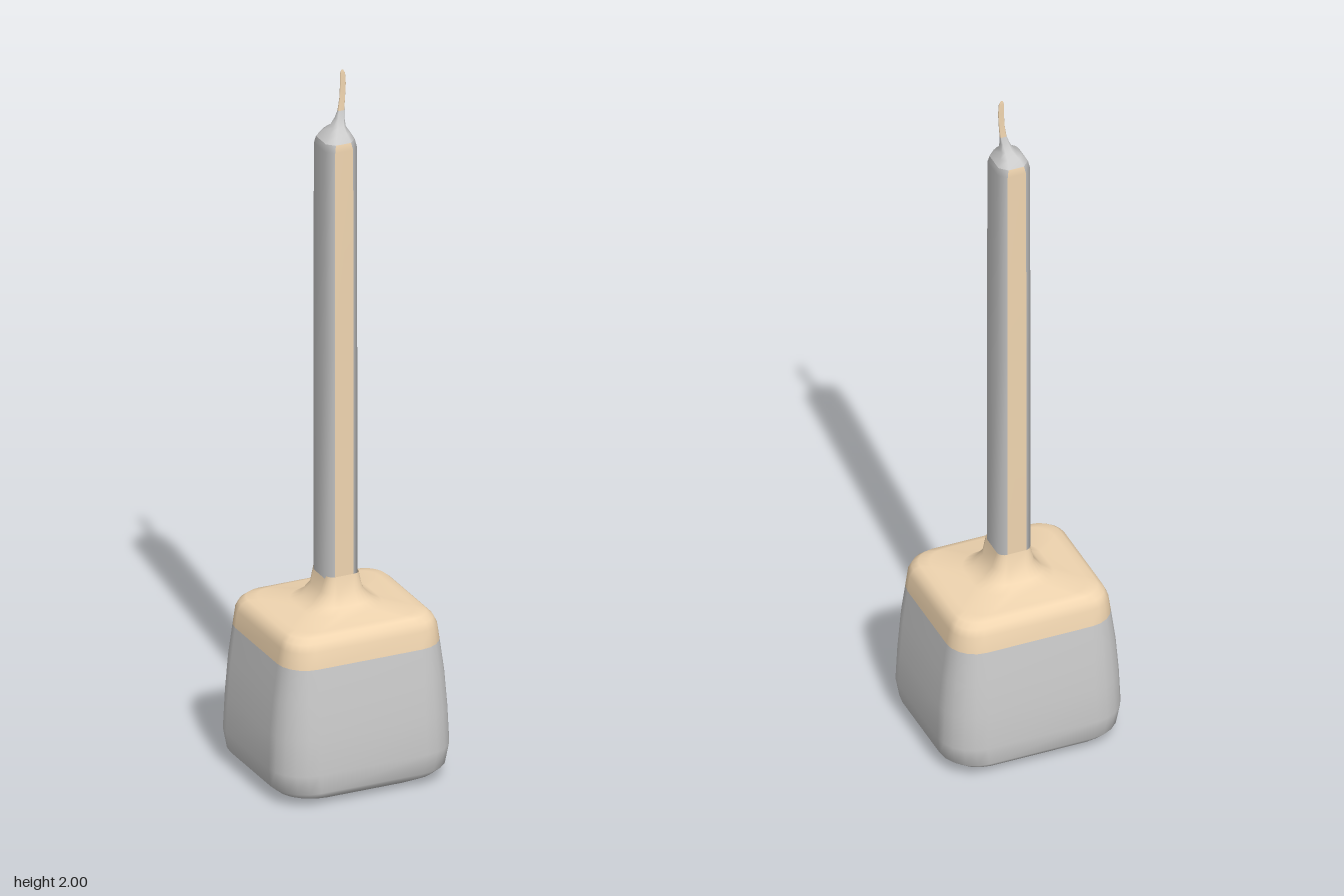
import * as THREE from 'three';

const grey = new THREE.MeshStandardMaterial({ color: 0xcccccc, side: THREE.DoubleSide });
const tan = new THREE.MeshStandardMaterial({ color: 0xf0d5b0, side: THREE.DoubleSide });

// Rounded rectangle ring with (seg + 1) points per corner, running +x to +z
function ring([y, hx, hz, r, cx = 0], seg) {
  const points = [];
  const signs = [[1, 1], [-1, 1], [-1, -1], [1, -1]];
  signs.forEach(([sx, sz], corner) => {
    for (let i = 0; i <= seg; i++) {
      const a = (corner + i / seg) * Math.PI / 2;
      points.push(cx + sx * (hx - r) + r * Math.cos(a), y, sz * (hz - r) + r * Math.sin(a));
    }
  });
  return points;
}

// Skin a stack of rings; keep(column) selects which strips belong to the mesh
function loft(name, rows, seg, material, keep = () => true) {
  const count = 4 * (seg + 1);
  const index = [];
  for (let j = 0; j < rows.length - 1; j++) {
    for (let i = 0; i < count; i++) {
      if (!keep(i)) continue;
      const a = j * count + i, b = j * count + (i + 1) % count;
      index.push(a, a + count, b, b, a + count, b + count);
    }
  }
  const geometry = new THREE.BufferGeometry();
  geometry.setAttribute('position', new THREE.Float32BufferAttribute(rows.flatMap(row => ring(row, seg)), 3));
  geometry.setIndex(index);
  geometry.computeVertexNormals();
  const mesh = new THREE.Mesh(geometry, material);
  mesh.name = name;
  return mesh;
}

export function createModel() {
  const model = new THREE.Group();
  model.name = 'stickWithBlock';

  // Rows are: height, half width, half depth, corner radius, x offset
  model.add(loft('block', [
    [0.005, 0.001, 0.001, 0.001],
    [0.005, 0.16, 0.15, 0.07],
    [0.008, 0.19, 0.175, 0.08],
    [0.025, 0.225, 0.205, 0.09],
    [0.045, 0.248, 0.223, 0.1],
    [0.1, 0.257, 0.229, 0.1],
    [0.2, 0.253, 0.226, 0.1],
    [0.3, 0.244, 0.218, 0.09],
    [0.395, 0.231, 0.208, 0.08],
  ], 5, grey));

  // Coloured top that sweeps up into the stick
  model.add(loft('blockTop', [
    [0.395, 0.231, 0.208, 0.08],
    [0.44, 0.224, 0.2, 0.07],
    [0.46, 0.215, 0.191, 0.065],
    [0.473, 0.2, 0.178, 0.06],
    [0.478, 0.175, 0.16, 0.06],
    [0.485, 0.11, 0.105, 0.07],
    [0.5, 0.082, 0.085, 0.055],
    [0.53, 0.058, 0.064, 0.035],
    [0.575, 0.047, 0.055, 0.02],
  ], 5, tan));

  // Chamfered stick: coloured front and back, grey sides and corners
  const stick = new THREE.Group();
  stick.name = 'stick';
  const shaft = [
    [0.56, 0.047, 0.055, 0.02, -0.002],
    [1.2, 0.047, 0.055, 0.02, -0.002],
    [1.79, 0.046, 0.054, 0.02, -0.002],
    [1.81, 0.042, 0.05, 0.02, -0.002],
  ];
  const frontOrBack = i => i === 1 || i === 5;
  stick.add(loft('stickFrontAndBack', shaft, 1, tan, frontOrBack));
  stick.add(loft('stickSides', shaft, 1, grey, i => !frontOrBack(i)));
  model.add(stick);

  // Shoulder pinching into the wick
  model.add(loft('shoulder', [
    [1.81, 0.042, 0.05, 0.02, -0.002],
    [1.828, 0.031, 0.036, 0.015, 0],
    [1.843, 0.018, 0.019, 0.008, 0.005],
    [1.865, 0.012, 0.009, 0.004, 0.01],
    [1.885, 0.009, 0.004, 0.002, 0.014],
  ], 1, grey));

  // Flat, thin wick, slightly off centre
  model.add(loft('wick', [
    [1.885, 0.009, 0.004, 0.002, 0.014],
    [1.92, 0.008, 0.002, 0.001, 0.018],
    [1.96, 0.008, 0.002, 0.001, 0.02],
    [1.99, 0.007, 0.002, 0.001, 0.019],
    [2, 0.003, 0.001, 0.001, 0.018],
    [2, 0.001, 0.001, 0.001, 0.018],
  ], 1, tan));

  return model;
}
